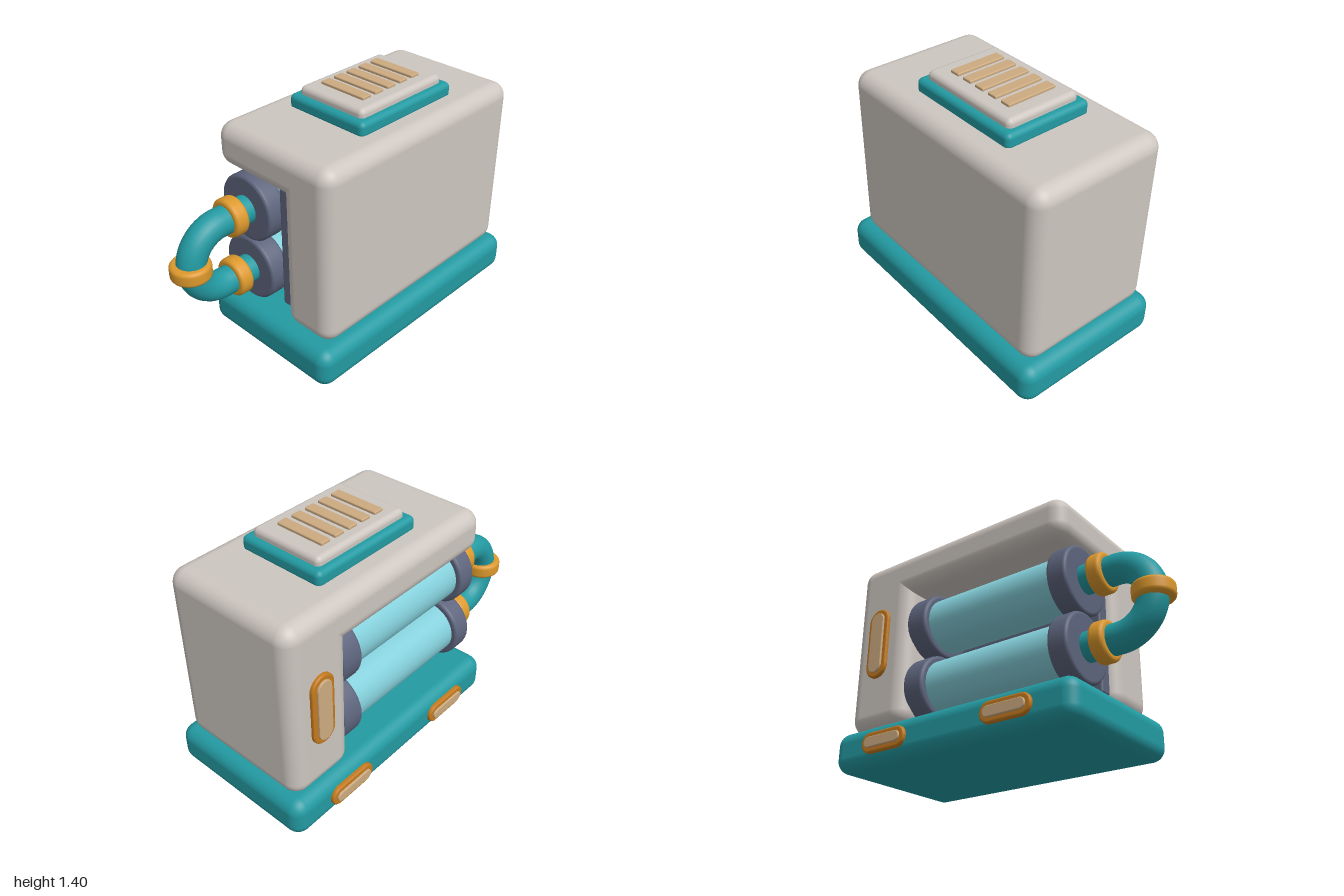
import * as THREE from 'three';
import { RoundedBoxGeometry } from 'three/addons/geometries/RoundedBoxGeometry.js';

const mat = (name, color) => {
  const m = new THREE.MeshStandardMaterial({ color });
  m.name = name;
  return m;
};

export function createModel() {
  const model = new THREE.Group();
  model.name = 'canisterMachine';
  const shell = mat('warm grey', 0xcdc6c0);
  const teal = mat('teal', 0x239aa2);
  const gold = mat('gold', 0xdc982c);
  const amber = mat('amber', 0xc47a1e);
  const tan = mat('tan', 0xccaa80);
  const slate = mat('slate', 0x5d647c);
  const aqua = mat('aqua', 0x84cfda);

  const add = (name, geometry, material, parent = model) => {
    const mesh = new THREE.Mesh(geometry, material);
    mesh.name = name;
    parent.add(mesh);
    return mesh;
  };

  // Rounded box given by its limits on each axis
  const box = (name, material, [x0, x1], [y0, y1], [z0, z1], r, parent) => {
    const mesh = add(name, new RoundedBoxGeometry(x1 - x0, y1 - y0, z1 - z0, 5, r), material, parent);
    mesh.position.set((x0 + x1) / 2, (y0 + y1) / 2, (z0 + z1) / 2);
    return mesh;
  };

  // Solid of revolution about x, with softened rims
  const drum = (name, material, x0, x1, y, z, r, bevel, parent) => {
    const h = (x1 - x0) / 2;
    const points = [new THREE.Vector2(0, -h)];
    for (const side of [-1, 1]) {
      for (let i = 0; i <= 4; i++) {
        const a = (side < 0 ? i - 4 : i) / 4 * Math.PI / 2;
        points.push(new THREE.Vector2(r - bevel + bevel * Math.cos(a), side * (h - bevel) + bevel * Math.sin(a)));
      }
    }
    points.push(new THREE.Vector2(0, h));
    const mesh = add(name, new THREE.LatheGeometry(points, 40), material, parent);
    mesh.rotation.z = -Math.PI / 2;
    mesh.position.set((x0 + x1) / 2, y, z);
    return mesh;
  };

  // Base
  box('base', teal, [-0.59, 1.0], [0, 0.23], [-0.44, 0.475], 0.075);

  // Housing: front wall, end pillar and roof around an open bay
  const housing = new THREE.Group();
  housing.name = 'housing';
  model.add(housing);
  box('frontWall', shell, [-0.51, 0.955], [0.225, 1.27], [0.09, 0.425], 0.085, housing);
  box('endPillar', shell, [0.55, 0.955], [0.225, 1.27], [-0.395, 0.425], 0.085, housing);
  box('roof', shell, [-0.51, 0.955], [1.02, 1.27], [-0.395, 0.425], 0.085, housing);
  box('bayBackPanel', slate, [-0.46, 0.56], [0.29, 1.04], [0.03, 0.12], 0.015, housing);

  // Roof vent
  const vent = new THREE.Group();
  vent.name = 'roofVent';
  model.add(vent);
  box('ventBase', teal, [-0.12, 0.59], [1.25, 1.34], [-0.245, 0.28], 0.03, vent);
  box('ventPlate', shell, [-0.08, 0.55], [1.31, 1.385], [-0.205, 0.24], 0.03, vent);
  for (let i = 0; i < 5; i++) {
    const x = 0.045 + i * 0.095;
    box('ventSlat', tan, [x - 0.031, x + 0.031], [1.37, 1.4], [-0.138, 0.16], 0.006, vent);
  }

  // Two canisters, each with end caps and a pipe collar
  const cz = -0.18;
  for (const y of [0.45, 0.83]) {
    const canister = new THREE.Group();
    canister.name = 'canister';
    model.add(canister);
    drum('canisterTube', aqua, -0.43, 0.46, y, cz, 0.157, 0.005, canister);
    drum('outerCap', slate, -0.51, -0.39, y, cz, 0.192, 0.02, canister);
    drum('innerCap', slate, 0.43, 0.57, y, cz, 0.192, 0.02, canister);
    drum('pipeCollar', gold, -0.653, -0.567, y, cz, 0.11, 0.022, canister);
  }

  // U-shaped pipe joining the canisters
  const path = new THREE.CurvePath();
  const p = (x, y) => new THREE.Vector3(x, y, cz);
  const bend = new THREE.Curve();
  bend.getPoint = (t, target = new THREE.Vector3()) => {
    const a = Math.PI / 2 + t * Math.PI;
    return target.set(-0.695 + 0.19 * Math.cos(a), 0.64 + 0.19 * Math.sin(a), cz);
  };
  path.add(new THREE.LineCurve3(p(-0.46, 0.83), p(-0.695, 0.83)));
  path.add(bend);
  path.add(new THREE.LineCurve3(p(-0.695, 0.45), p(-0.46, 0.45)));
  add('connectingPipe', new THREE.TubeGeometry(path, 60, 0.08, 24), teal);
  drum('bendCollar', gold, -0.933, -0.847, 0.64, cz, 0.11, 0.022).rotation.z = 0;

  // Capsule badges on the back, each a frame with a raised insert
  const capsule = (w, h, depth, bevel) => {
    const iw = w / 2 - bevel, ih = h / 2 - bevel;
    const r = Math.min(iw, ih);
    const s = new THREE.Shape();
    if (w > h) {
      s.absarc(iw - r, 0, r, -Math.PI / 2, Math.PI / 2);
      s.absarc(r - iw, 0, r, Math.PI / 2, Math.PI * 1.5);
    } else {
      s.absarc(0, ih - r, r, 0, Math.PI);
      s.absarc(0, r - ih, r, Math.PI, Math.PI * 2);
    }
    s.closePath();
    return new THREE.ExtrudeGeometry(s, {
      depth: depth - bevel, bevelThickness: bevel, bevelSize: bevel, bevelSegments: 3, curveSegments: 14,
    });
  };
  const badge = (name, x, y, z, w, h) => {
    const g = new THREE.Group();
    g.name = name;
    g.position.set(x, y, z);
    g.rotation.y = Math.PI;
    model.add(g);
    add('badgeFrame', capsule(w, h, 0.025, 0.01), amber, g);
    add('badgeInsert', capsule(w - 0.055, h - 0.055, 0.036, 0.005), tan, g);
  };
  badge('pillarBadge', 0.755, 0.733, -0.39, 0.15, 0.425);
  badge('baseBadge', -0.205, 0.118, -0.436, 0.31, 0.115);
  badge('baseBadge', 0.605, 0.118, -0.436, 0.31, 0.115);

  return model;
}
